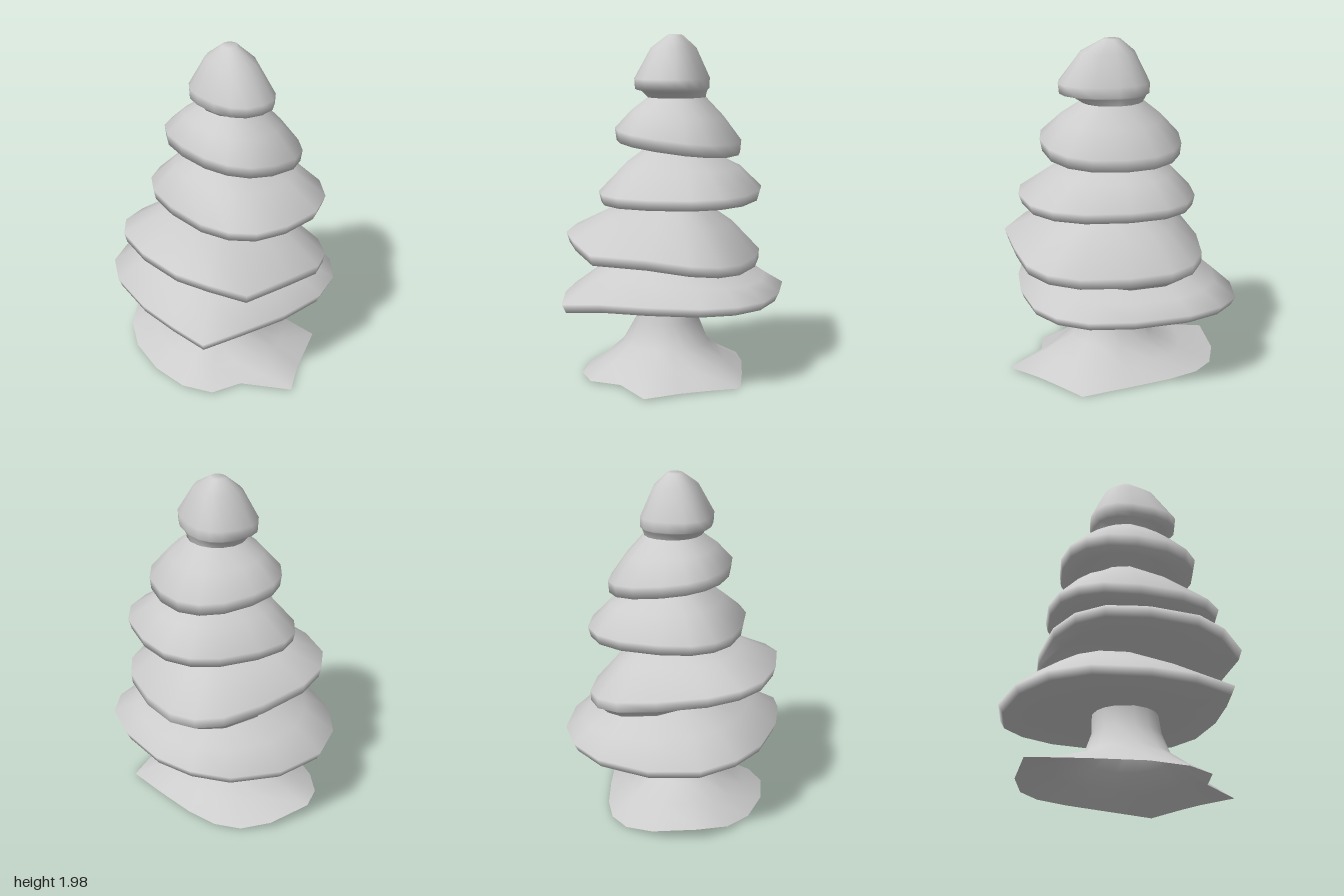
import * as THREE from 'three';

const snow = new THREE.MeshStandardMaterial({ color: 0xcccccc, side: THREE.DoubleSide });
snow.name = 'pale grey';

const SIDES = 16;
const CZ = 0.05;

// Skin between closed rings, listed from top to bottom
function loft(name, rings, capTop) {
  const idx = [];
  for (let r = 0; r < rings.length - 1; r++) {
    for (let i = 0; i < SIDES; i++) {
      const j = (i + 1) % SIDES, a = r * SIDES + i, b = a + SIDES, c = r * SIDES + j, d = c + SIDES;
      idx.push(a, b, d, a, d, c);
    }
  }
  if (capTop) for (let i = 1; i < SIDES - 1; i++) idx.push(0, i, i + 1);
  const g = new THREE.BufferGeometry();
  g.setAttribute('position', new THREE.Float32BufferAttribute(rings.flat(2), 3));
  g.setIndex(idx);
  g.computeVertexNormals();
  const m = new THREE.Mesh(g, snow);
  m.name = name;
  return m;
}

// Uneven rounded outline: reach to each side, sideways slope, and
// bumps of [degrees (0 right, 90 back), extra radius, extra height, width]
function outline({ left, right, back, front, y, slope = 0, square = 0.85, bumps = [] }) {
  return Array.from({ length: SIDES }, (_, i) => {
    const deg = (i * 360) / SIDES, a = THREE.MathUtils.degToRad(deg);
    const c = Math.cos(a), s = Math.sin(a);
    let x = Math.sign(c) * Math.abs(c) ** square * (c > 0 ? right : left);
    let z = -Math.sign(s) * Math.abs(s) ** square * (s > 0 ? back + CZ : front - CZ);
    let h = y + slope * x;
    for (const [at, out, up, width] of bumps) {
      const gap = Math.abs(((deg - at + 540) % 360) - 180) / width;
      const w = Math.exp(-gap * gap);
      x += c * out * w;
      z -= s * out * w;
      h += up * w;
    }
    return [x, h, z + CZ];
  });
}

// Narrow tilted ellipse, with one point facing each rim corner
const neckRing = (k, rim) => rim.map(([x, , z]) => {
  const a = Math.atan2((z - k.z) / k.rz, (x - k.x) / k.rx);
  const dx = Math.cos(a) * k.rx;
  return [k.x + dx, k.y + dx * (k.tilt || 0), k.z + Math.sin(a) * k.rz];
});

const mix = (A, B, t, lift = 0) => A.map((p, i) => p.map((v, c) => v + (B[i][c] - v) * t + (c === 1 ? lift : 0)));

// Necks from the tip down to the trunk
const necks = [
  { x: 0.01, y: 1.995, z: 0.06, rx: 0.045, rz: 0.05 },
  { x: 0.02, y: 1.64, z: 0.06, rx: 0.17, rz: 0.18 },
  { x: 0.05, y: 1.32, z: 0.03, rx: 0.22, rz: 0.18, tilt: -0.1 },
  { x: 0, y: 1.02, z: 0.03, rx: 0.18, rz: 0.17 },
  { x: 0.07, y: 0.68, z: -0.04, rx: 0.35, rz: 0.38, tilt: -0.17 },
  { x: -0.04, y: 0.44, z: 0.04, rx: 0.19, rz: 0.19 },
];

// Drooping branch tiers, top to bottom
const tiers = [
  { name: 'topTier', thick: 0.06, lift: 0.05, left: 0.21, right: 0.205, back: 0.16, front: 0.37, y: 1.75 },
  { name: 'upperTier', thick: 0.07, lift: 0.015, left: 0.32, right: 0.39, back: 0.34, front: 0.48, y: 1.43, slope: -0.13 },
  { name: 'middleTier', thick: 0.06, lift: 0.03, left: 0.4, right: 0.51, back: 0.41, front: 0.61, y: 1.11, square: 0.8 },
  { name: 'lowerTier', thick: 0.06, lift: 0.03, left: 0.6, right: 0.49, back: 0.46, front: 0.64, y: 0.79, slope: -0.14, square: 0.75,
    bumps: [[247, 0.06, -0.03, 15]] },
  { name: 'bottomTier', thick: 0.05, lift: 0.01, left: 0.61, right: 0.63, back: 0.65, front: 0.61, y: 0.515, square: 0.8,
    bumps: [[225, 0.09, -0.03, 16], [95, 0.03, -0.05, 40]] },
];

export function createModel() {
  const group = new THREE.Group();
  group.name = 'snowyTree';

  tiers.forEach((t, i) => {
    const rim = outline(t);
    const neck = neckRing(necks[i], rim), under = neckRing(necks[i + 1], rim);
    // Rolled lip, then a flat underside running in to the next neck
    const lip = mix(rim, under, 0.05).map((p, k) => [p[0], rim[k][1] - t.thick, p[2]]);
    const inner = mix(lip, under, 0.5).map((p, k) => [p[0], lip[k][1] + (under[k][1] - lip[k][1]) * 0.25, p[2]]);
    group.add(loft(t.name, [neck, mix(neck, rim, 0.5, t.lift), rim, lip, inner, under], i === 0));
  });

  // Trunk flaring into a thin, ragged ground skirt, open below
  const skirt = outline({
    left: 0.53, right: 0.38, back: 0.55, front: 0.57, y: 0.02,
    bumps: [[270, 0.12, 0, 12], [247, -0.08, 0, 12], [340, 0.12, -0.01, 18], [112, 0.06, 0.06, 22]],
  }).map(([x, y, z]) => [x, Math.max(y, 0), z]);
  const top = neckRing(necks[5], skirt);
  const waist = neckRing({ x: -0.04, y: 0.33, z: 0.05, rx: 0.19, rz: 0.2 }, skirt);
  const foot = neckRing({ x: -0.05, y: 0.19, z: 0.05, rx: 0.26, rz: 0.25 }, skirt);
  group.add(loft('trunkAndSkirt', [top, waist, foot, mix(foot, skirt, 0.45, -0.01), skirt]));

  return group;
}
